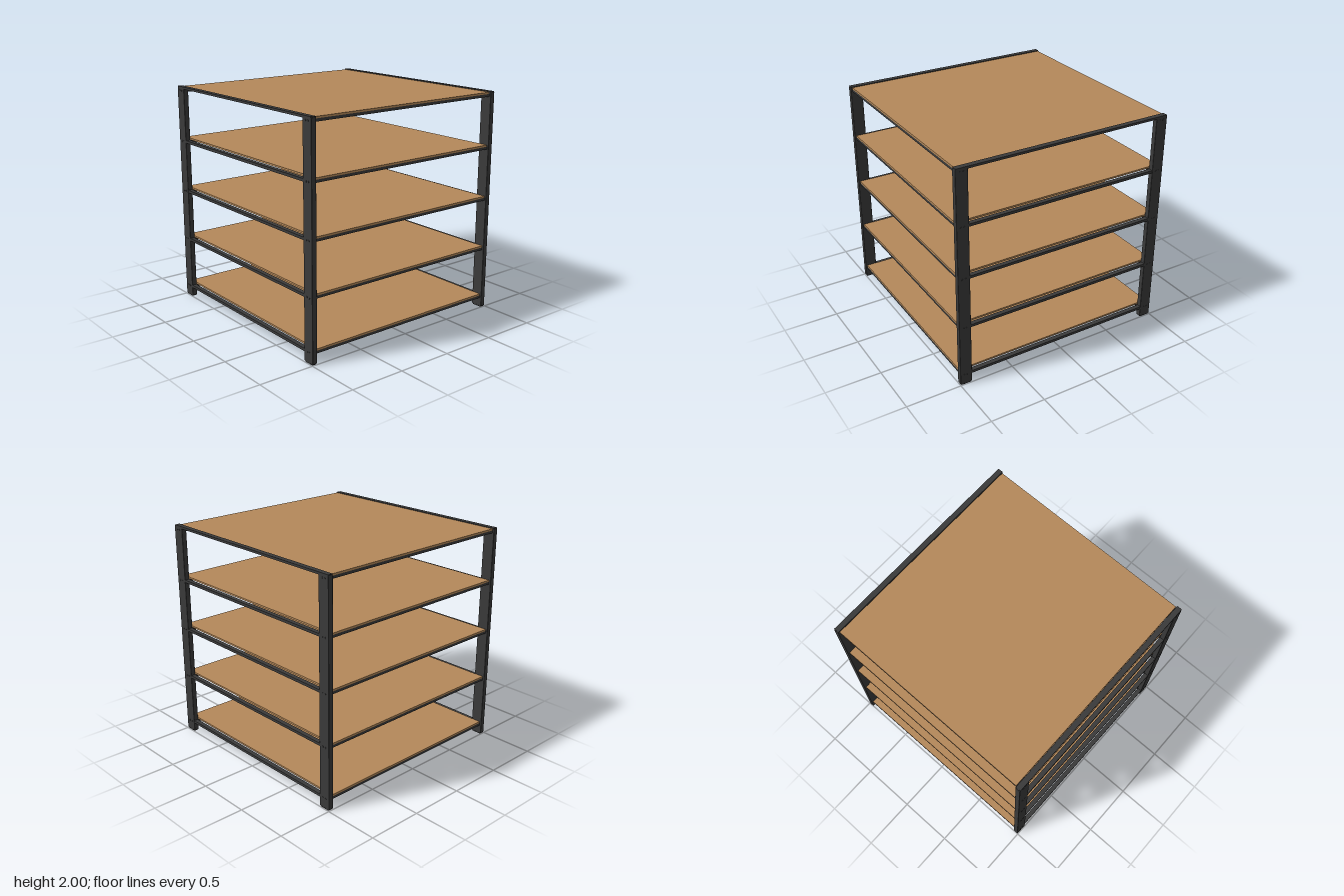
import * as THREE from 'three';
import { RoundedBoxGeometry } from 'three/addons/geometries/RoundedBoxGeometry.js';

const wood = new THREE.MeshStandardMaterial({ color: 0xb5895a });
wood.name = 'wood';
const steel = new THREE.MeshStandardMaterial({ color: 0x3a3a3a });
steel.name = 'darkSteel';

function add(parent, name, geometry, material, x, y, z) {
  const mesh = new THREE.Mesh(geometry, material);
  mesh.name = name;
  mesh.position.set(x, y, z);
  parent.add(mesh);
  return mesh;
}

export function createModel() {
  const model = new THREE.Group();
  model.name = 'shelvingUnit';

  const levels = 5, firstTop = 0.128, step = 0.4667;
  const boardThickness = 0.016, beamHeight = 0.024;
  const postX = 0.9735, postZ = 0.945;

  const boardGeo = new THREE.BoxGeometry(1.89, boardThickness, 1.97);
  const beamGeo = new THREE.BoxGeometry(1.9, beamHeight, 0.095);
  const sideRailGeo = new THREE.BoxGeometry(0.04, beamHeight, 1.79);
  const boltGeo = new THREE.CylinderGeometry(0.008, 0.008, 0.006, 12).rotateZ(Math.PI / 2);

  // Shelves with their supporting frame
  for (let i = 0; i < levels; i++) {
    const shelf = new THREE.Group();
    shelf.name = 'shelf' + (i + 1);
    model.add(shelf);
    const top = firstTop + i * step;
    const beamY = top - boardThickness - beamHeight / 2;
    add(shelf, 'board', boardGeo, wood, 0, top - boardThickness / 2, 0);
    for (const s of [-1, 1]) {
      add(shelf, s > 0 ? 'frontBeam' : 'backBeam', beamGeo, steel, 0, beamY, s * 0.9365);
      // The top level is carried by the long cap rails instead
      if (i < levels - 1) {
        add(shelf, s > 0 ? 'leftRail' : 'rightRail', sideRailGeo, steel, s * 0.975, beamY, 0);
      }
      // Pairs of bolt heads on the outside of the posts
      for (const z of [-0.96, -0.93, 0.93, 0.96]) {
        add(shelf, 'bolt', boltGeo, steel, s * 0.997, top - 0.03, z);
      }
    }
  }

  // Posts, feet and cap rails
  const postGeo = new RoundedBoxGeometry(0.047, 1.985, 0.11, 2, 0.006);
  const footGeo = new THREE.BoxGeometry(0.038, 0.014, 0.09);
  const capGeo = new THREE.BoxGeometry(0.047, 0.02, 1.99);
  for (const sx of [-1, 1]) {
    for (const sz of [-1, 1]) {
      add(model, 'post', postGeo, steel, sx * postX, 1.0005, sz * postZ);
      add(model, 'foot', footGeo, steel, sx * postX, 0.007, sz * postZ);
    }
    add(model, 'topRail', capGeo, steel, sx * postX, 1.99, 0);
  }
  return model;
}
